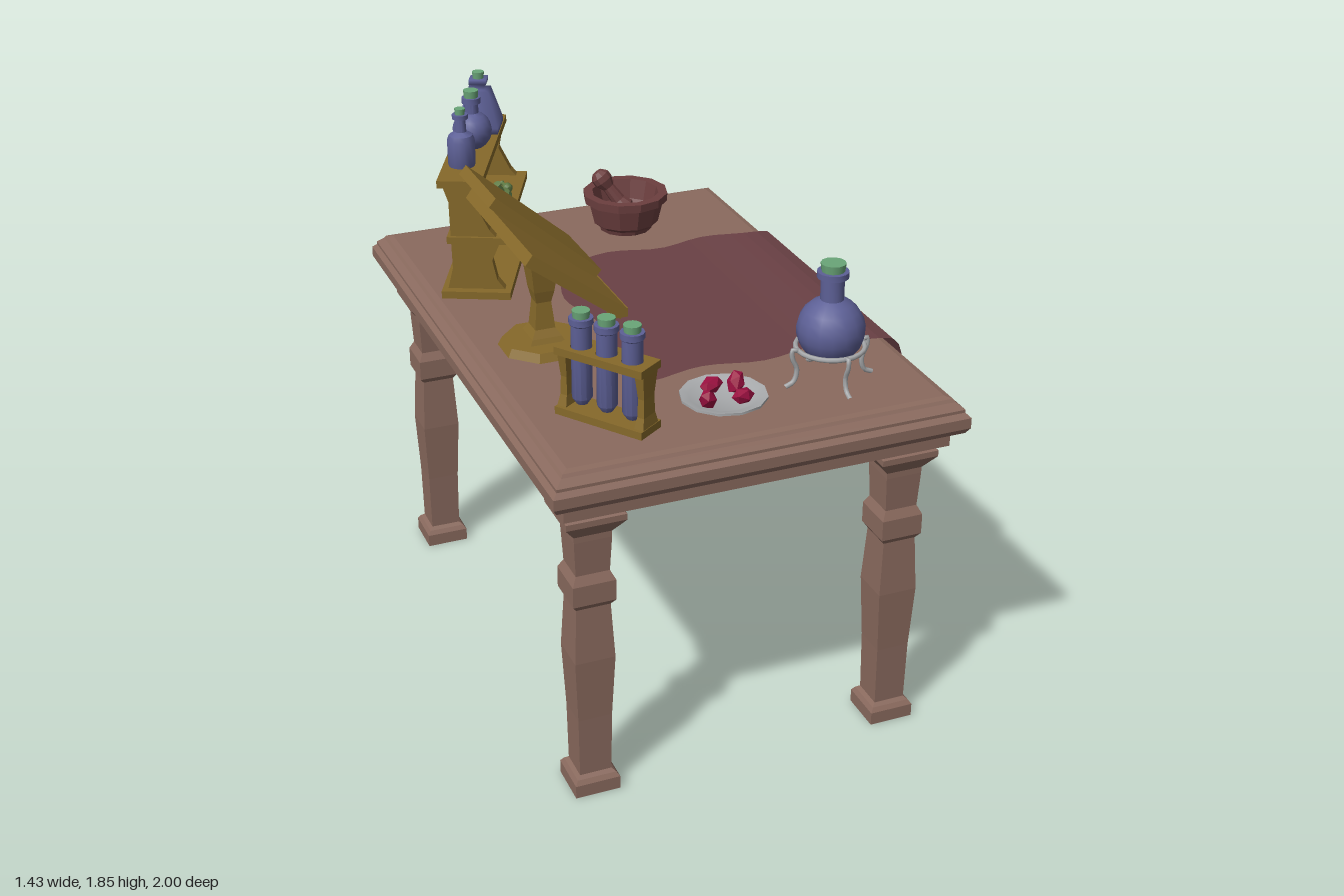
import * as THREE from 'three';
import { toCreasedNormals } from 'three/addons/utils/BufferGeometryUtils.js';

const mat = (color, extra = {}) => new THREE.MeshStandardMaterial({ color, ...extra });
const flat = { flatShading: true };
const WOOD = mat(0x8a6a5e, flat), GOLD = mat(0x86692a, flat), GLASS = mat(0x5d6096),
  CORK = mat(0x6aa578), CLAY = mat(0x6c3f3f, flat), CLOTH = mat(0x6a4145, { side: THREE.DoubleSide, flatShading: true }),
  METAL = mat(0xa8aaac), GEM = mat(0x9a1040, flat), HERB = mat(0x5f7a45);
const TOP = 1.22;

function add(parent, name, geo, material, pos = [0, 0, 0], rot = [0, 0, 0]) {
  const m = new THREE.Mesh(geo, material);
  m.name = name;
  m.position.set(...pos);
  m.rotation.set(...rot);
  parent.add(m);
  return m;
}
function group(parent, name, pos, ry = 0) {
  const g = new THREE.Group();
  g.name = name;
  g.position.set(...pos);
  g.rotation.y = ry;
  parent.add(g);
  return g;
}
const box = (w, h, d) => new THREE.BoxGeometry(w, h, d);
const v2 = pts => pts.map(p => new THREE.Vector2(...p));
const v3 = pts => pts.map(p => new THREE.Vector3(...p));

// Round turned shape from [radius, y] points
const turned = (pts, sides = 16) => toCreasedNormals(new THREE.LatheGeometry(v2(pts), sides), 0.65);

// Square turned shape from [half width, y] points, optionally stretched along z
function squareTurned(pts, stretch = 0) {
  const prof = [[0, pts[0][1]], ...pts, [0, pts[pts.length - 1][1]]];
  const geo = new THREE.LatheGeometry(v2(prof.map(([r, y]) => [r * Math.SQRT2, y])), 4);
  geo.rotateY(Math.PI / 4);
  const p = geo.attributes.position;
  for (let i = 0; i < p.count; i++) {
    const z = p.getZ(i);
    if (Math.abs(z) > 1e-4) p.setZ(i, z + Math.sign(z) * stretch);
  }
  return geo;
}

function table(root) {
  const g = group(root, 'table', [-0.0375, 0, 0]);
  const h = 0.6825;
  const edge = [[0.045, 1.05], [0.045, 1.1], [0.012, 1.105], [0, 1.125], [0, 1.16], [0.015, 1.175],
    [0.015, 1.185], [0.038, 1.205], [0.045, 1.215], [0.065, TOP]];
  add(g, 'tableTop', squareTurned(edge.map(([d, y]) => [h - d, y]), 1 - h), WOOD);
  const leg = [[0.075, 0], [0.075, 0.045], [0.065, 0.06], [0.053, 0.07], [0.056, 0.28], [0.066, 0.5], [0.056, 0.69],
    [0.07, 0.71], [0.07, 0.78], [0.055, 0.81], [0.061, 0.93], [0.061, 0.95], [0.09, 0.99], [0.097, 1.0], [0.097, 1.02],
    [0.085, 1.03], [0.085, 1.06]];
  for (const sx of [-1, 1]) for (const sz of [-1, 1])
    add(g, 'leg', squareTurned(leg), WOOD, [sx * 0.5225, 0, sz * 0.825]);
}

// Cloth lying on the table and hanging over its +x edge
function cloth(root) {
  const path = new THREE.CatmullRomCurve3(v3([[-0.25, 1.228, 0], [0, 1.23, 0], [0.3, 1.23, 0], [0.57, 1.235, 0],
    [0.635, 1.215, 0], [0.68, 1.13, 0], [0.7, 1.02, 0], [0.69, 0.95, 0], [0.675, 0.89, 0]]));
  const nu = 24, nv = 20;
  const geo = new THREE.PlaneGeometry(1, 1, nu, nv);
  const p = geo.attributes.position;
  for (let i = 0; i < p.count; i++) {
    const u = p.getX(i) + 0.5, v = 0.5 - p.getY(i);
    const q = path.getPointAt(u);
    const hang = THREE.MathUtils.smoothstep(u, 0.68, 1);
    const z0 = -0.46 + 0.018 * Math.sin(u * 22), z1 = 0.505 + 0.018 * Math.cos(u * 19);
    const z = z0 + (z1 - z0) * v;
    const tip = Math.max(0, 1 - Math.abs(z - 0.15) / 0.09) * 0.06;
    const corner = THREE.MathUtils.smoothstep(z, 0.4, 0.5) * 0.1;
    const wave = Math.sin(v * 17) * 0.014;
    p.setXYZ(i, q.x + hang * wave + (1 - u) ** 6 * Math.sin(v * 15) * 0.02,
      q.y + hang * hang * (corner - tip), z);
  }
  geo.computeVertexNormals();
  add(root, 'cloth', geo, CLOTH);
}

// Bottles: a glass body with a cork
function bottle(parent, name, body, corkR, corkY, pos) {
  const g = group(parent, name, pos);
  add(g, 'glass', body, GLASS);
  add(g, 'cork', new THREE.CylinderGeometry(corkR, corkR * 0.9, 0.03, 12), CORK, [0, corkY, 0]);
}
function roundBody(r, cy, neckR, neckTop) {
  const pts = [[0, cy - r * 0.86], [r * 0.5, cy - r * 0.86]];
  const a1 = Math.PI / 2 - Math.asin(neckR / r);
  for (let i = 0; i <= 8; i++) {
    const a = -Math.PI / 3 + (a1 + Math.PI / 3) * i / 8;
    pts.push([r * Math.cos(a), cy + r * Math.sin(a)]);
  }
  pts.push([neckR, neckTop - 0.02], [neckR * 1.35, neckTop - 0.02], [neckR * 1.35, neckTop], [0, neckTop]);
  return turned(pts);
}

function shelf(root) {
  const g = group(root, 'shelf', [-0.4, TOP, -0.59], -0.44);
  add(g, 'baseBoard', box(0.235, 0.026, 0.67), GOLD, [0, 0.013, 0]);
  add(g, 'middleBoard', box(0.2, 0.024, 0.63), GOLD, [0.005, 0.205, 0]);
  add(g, 'topBoard', box(0.15, 0.026, 0.67), GOLD, [-0.042, 0.412, 0]);
  const side = new THREE.Shape(v2([[-0.1, 0.02], [0.1, 0.02], [0.07, 0.06], [0.055, 0.13], [0.085, 0.2], [0.05, 0.24],
    [0.01, 0.32], [0.025, 0.4], [-0.105, 0.4], [-0.085, 0.34], [-0.08, 0.1]]));
  const panel = new THREE.ExtrudeGeometry(side, { depth: 0.035, bevelEnabled: false });
  for (const z of [-0.305, 0.27]) add(g, 'sidePanel', panel, GOLD, [0, 0, z]);
  // bottles on the top board
  const y = 0.425;
  bottle(g, 'smallBottle', turned([[0, 0], [0.044, 0], [0.047, 0.01], [0.047, 0.09], [0.04, 0.108], [0.02, 0.12], [0.018, 0.165],
    [0.027, 0.165], [0.027, 0.18], [0, 0.18]]), 0.018, 0.185, [-0.053, y, 0.18]);
  bottle(g, 'roundBottle', roundBody(0.068, 0.062, 0.024, 0.18), 0.026, 0.19, [-0.04, y, 0.005]);
  bottle(g, 'squareBottle', squareTurned([[0.072, 0], [0.072, 0.02], [0.038, 0.142], [0.022, 0.145], [0.022, 0.165],
    [0.03, 0.165], [0.03, 0.182]]), 0.021, 0.19, [-0.042, y, -0.195]);
  // dried herbs and bulbs on the middle board
  const bulb = turned([[0, -0.04], [0.026, -0.034], [0.042, -0.01], [0.038, 0.016], [0.018, 0.034], [0.013, 0.08], [0.02, 0.09], [0, 0.092]], 10);
  const herbs = [[0.06, 0.21, 1, 0.4, -2], [0.05, 0.06, 0.55, 0, -1.3], [0.06, 0, 0.7, 0.3, 0.5], [0.03, -0.05, 0.6, 0, 1.2],
    [0.06, -0.1, 0.45, 0.6, -1.4], [0.05, 0.12, 0.5, -0.4, 1.4]];
  for (const [x, z, s, rz, rx] of herbs)
    add(g, 'herb', bulb, HERB, [x, 0.217 + 0.042 * s, z], [rx, 0, rz]).scale.setScalar(s);
}

function bookStand(root) {
  const g = group(root, 'bookStand', [-0.45, TOP, 0.13]);
  add(g, 'foot', new THREE.CylinderGeometry(0.13, 0.145, 0.028, 8).rotateY(Math.PI / 8), GOLD, [0, 0.014, 0]);
  add(g, 'column', squareTurned([[0.06, 0.025], [0.05, 0.045], [0.034, 0.07], [0.025, 0.16], [0.034, 0.2], [0.045, 0.29]]), GOLD);
  add(g, 'backBoard', box(0.38, 0.04, 0.6), GOLD, [0.015, 0.325, 0.005], [0, 0, -0.64]);
  add(g, 'ledge', box(0.05, 0.03, 0.6), GOLD, [0.155, 0.215, 0.005]);
  add(g, 'book', box(0.45, 0.036, 0.31), GOLD, [-0.005, 0.4, -0.075], [0, 0, -0.71]);
}

function tubeRack(root) {
  const g = group(root, 'tubeRack', [-0.44, TOP, 0.7], 0.605);
  add(g, 'rackBase', box(0.105, 0.025, 0.316), GOLD, [0, 0.0125, 0]);
  const hole = new THREE.Shape(v2([[-0.052, -0.158], [0.052, -0.158], [0.052, 0.158], [-0.052, 0.158]]));
  for (const z of [-0.092, 0, 0.092]) hole.holes.push(new THREE.Path().absarc(0, z, 0.034, 0, Math.PI * 2, true));
  const plate = new THREE.ExtrudeGeometry(hole, { depth: 0.025, bevelEnabled: false, curveSegments: 10 });
  add(g, 'rackTop', plate, GOLD, [0, 0.225, 0], [Math.PI / 2, 0, 0]);
  for (const z of [-0.14, 0.14])
    add(g, 'rackPost', squareTurned([[0.042, 0.02], [0.03, 0.06], [0.027, 0.12], [0.04, 0.21]]), GOLD, [0, 0, z]).scale.z = 0.4;
  const tube = turned([[0, 0.03], [0.018, 0.034], [0.032, 0.055], [0.032, 0.295], [0.038, 0.3], [0.038, 0.32], [0, 0.32]], 12);
  for (const z of [-0.092, 0, 0.092]) bottle(g, 'testTube', tube, 0.028, 0.328, [0, 0, z]);
}

function flaskOnStand(root) {
  const g = group(root, 'flaskOnStand', [0.295, TOP, 0.71]);
  bottle(g, 'flask', roundBody(0.108, 0.18, 0.037, 0.375), 0.04, 0.387, [0, 0, 0]);
  add(g, 'standRing', new THREE.TorusGeometry(0.108, 0.008, 6, 24), METAL, [0, 0.122, 0], [Math.PI / 2, 0, 0]);
  const curve = new THREE.CatmullRomCurve3(v3([[0.105, 0.122, 0], [0.128, 0.128, 0], [0.128, 0.1, 0], [0.112, 0.06, 0], [0.122, 0.02, 0], [0.15, 0.006, 0]]));
  const leg = new THREE.TubeGeometry(curve, 14, 0.008, 6);
  for (let i = 0; i < 4; i++) add(g, 'standLeg', leg, METAL, [0, 0, 0], [0, i * Math.PI / 2, 0]);
}

function plate(root) {
  const g = group(root, 'plateOfGems', [-0.07, TOP, 0.725]);
  add(g, 'plate', turned([[0, 0], [0.08, 0], [0.138, 0.024], [0.138, 0.032], [0.11, 0.026], [0.085, 0.014], [0, 0.014]], 12), METAL);
  const gem = new THREE.IcosahedronGeometry(0.034, 0);
  const spots = [[-0.015, -0.06, 0.4], [0.06, -0.045, 1.2], [-0.065, 0.03, 2], [0.045, 0.045, 2.7], [0.01, 0.0, 0.9]];
  spots.slice(0, 4).forEach(([x, z, a]) => add(g, 'gem', gem, GEM, [x, 0.037, z], [a, a, 0]).scale.set(1.25, 0.8, 0.85));
}

function mortar(root) {
  const g = group(root, 'mortarAndPestle', [0.16, TOP, -0.7]);
  add(g, 'mortar', turned([[0, 0], [0.095, 0], [0.1, 0.015], [0.12, 0.03], [0.138, 0.105], [0.153, 0.11], [0.155, 0.14],
    [0.122, 0.14], [0.105, 0.07], [0.07, 0.035], [0, 0.03]], 12), CLAY);
  const shaft = turned([[0, 0], [0.03, 0.008], [0.04, 0.03], [0.026, 0.06], [0.022, 0.12], [0.036, 0.15], [0.036, 0.172], [0.02, 0.19], [0, 0.192]], 10);
  const pestle = add(g, 'pestle', shaft, CLAY, [0.015, 0.05, -0.01]);
  pestle.quaternion.setFromUnitVectors(new THREE.Vector3(0, 1, 0), new THREE.Vector3(-0.1, 0.15, -0.055).normalize());
}

export function createModel() {
  const root = new THREE.Group();
  root.name = 'workTable';
  [table, cloth, shelf, bookStand, tubeRack, flaskOnStand, plate, mortar].forEach(build => build(root));
  return root;
}
